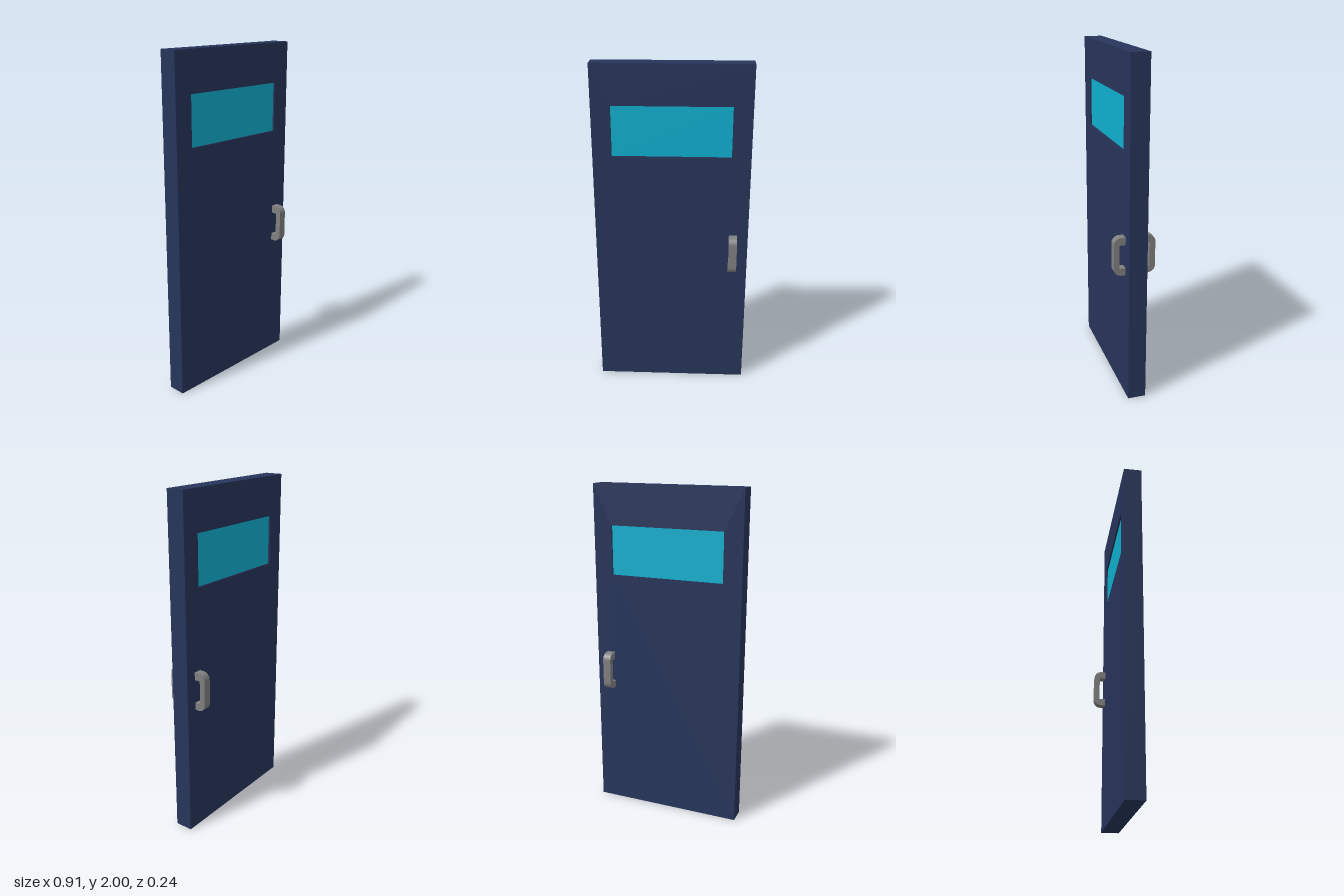
import * as THREE from 'three';

const W = 0.453, H = 2, T = 0.053; // half width, height, half thickness

function rectPath(path, x0, y0, x1, y1) {
  path.moveTo(x0, y0);
  path.lineTo(x1, y0);
  path.lineTo(x1, y1);
  path.lineTo(x0, y1);
  path.closePath();
  return path;
}

// Pull handle profile: outward distance across, height up, rounded outer corners
function handleGeometry(width) {
  const out = 0.121, inn = 0.088, y0 = 0.77, y1 = 0.997, r = 0.042;
  const s = new THREE.Shape();
  s.moveTo(T, y0);
  s.lineTo(out - r, y0);
  s.absarc(out - r, y0 + r, r, -Math.PI / 2, 0, false);
  s.lineTo(out, y1 - r);
  s.absarc(out - r, y1 - r, r, 0, Math.PI / 2, false);
  s.lineTo(T, y1);
  s.lineTo(T, 0.952);
  s.lineTo(inn, 0.952);
  s.lineTo(inn, 0.813);
  s.lineTo(T, 0.813);
  s.closePath();
  return new THREE.ExtrudeGeometry(s, { depth: width, bevelEnabled: false, curveSegments: 4 })
    .translate(0, 0, -width / 2);
}

export function createModel() {
  const model = new THREE.Group();
  model.name = 'door';
  const add = (name, geometry, color) => {
    const mesh = new THREE.Mesh(geometry, new THREE.MeshStandardMaterial({ color, flatShading: true }));
    mesh.name = name;
    model.add(mesh);
    return mesh;
  };

  // Door leaf with a window opening
  const win = { x0: -0.342, y0: 1.476, x1: 0.342, y1: 1.766 };
  const leaf = rectPath(new THREE.Shape(), -W, 0, W, H);
  leaf.holes.push(rectPath(new THREE.Path(), win.x0, win.y0, win.x1, win.y1));
  add('doorLeaf', new THREE.ExtrudeGeometry(leaf, { depth: 2 * T, bevelEnabled: false })
    .translate(0, 0, -T), 0x27355b);

  // Glass pane, slightly recessed on both sides
  add('windowPane', new THREE.BoxGeometry(win.x1 - win.x0, win.y1 - win.y0, 0.086)
    .translate(0, (win.y0 + win.y1) / 2, 0), 0x0fb0d0);

  // Matching pull handles on the front and back
  for (const side of [1, -1]) {
    const handle = add(side > 0 ? 'frontHandle' : 'backHandle', handleGeometry(0.048), 0x808080);
    handle.rotation.y = -side * Math.PI / 2;
    handle.position.x = 0.364;
  }
  return model;
}
